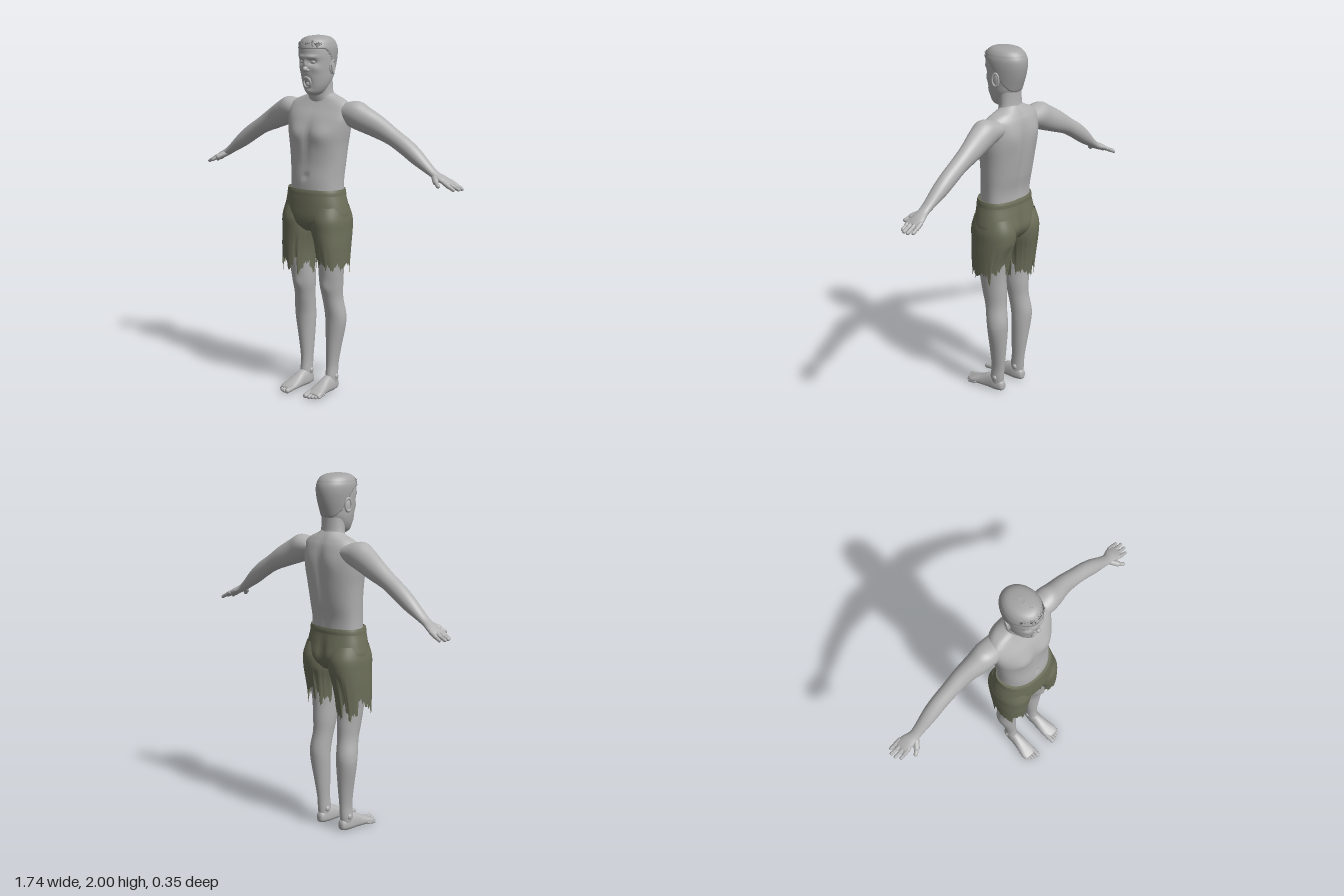
import * as THREE from 'three';

const mat = (name, color, side = THREE.FrontSide) =>
  Object.assign(new THREE.MeshStandardMaterial({ color, side }), { name });
const X = new THREE.Vector3(1, 0, 0), Y = new THREE.Vector3(0, 1, 0), Z = new THREE.Vector3(0, 0, 1);
const sq = v => v * v;
const gauss = (x, y, cx, cy, sx, sy) => Math.exp(-sq((x - cx) / sx) - sq((y - cy) / sy));

// Small seeded random source
function seeded(seed) {
  return () => (seed = (seed * 16807) % 2147483647) / 2147483647;
}

// Smooth value along the rows (Catmull-Rom on every column)
function sample(rows, t) {
  const f = t * (rows.length - 1), i = Math.min(Math.floor(f), rows.length - 2), k = f - i;
  const at = j => rows[Math.max(0, Math.min(rows.length - 1, j))];
  const [a, b, c, d] = [at(i - 1), at(i), at(i + 1), at(i + 2)];
  return b.map((_, n) => b[n] + 0.5 * k * (c[n] - a[n] + k * (2 * a[n] - 5 * b[n] + 4 * c[n] - d[n]
    + k * (3 * (b[n] - c[n]) + d[n] - a[n]))));
}

// Skin over rows of [x, y, z, radius along U, radius along +V, radius along -V]
function loft(rows, U, V, { seg = 40, sub = 5, power = 2, cap = true, warp } = {}) {
  const pos = [], idx = [], n = (rows.length - 1) * sub;
  const pw = v => Math.sign(v) * Math.pow(Math.abs(v), 2 / power);
  for (let i = 0; i <= n; i++) {
    const [x, y, z, u, vp, vn] = sample(rows, i / n);
    for (let j = 0; j < seg; j++) {
      const a = j / seg * Math.PI * 2, s = Math.sin(a);
      const p = new THREE.Vector3(x, y, z).addScaledVector(U, u * pw(Math.cos(a)))
        .addScaledVector(V, pw(s) * (s > 0 ? vp : vn));
      if (warp) warp(p, i / n, j);
      pos.push(p.x, p.y, p.z);
    }
  }
  const first = rows[0], last = rows[rows.length - 1];
  const dir = new THREE.Vector3(last[0] - first[0], last[1] - first[1], last[2] - first[2]);
  const out = dir.dot(U.clone().cross(V)) > 0;
  const tri = (a, b, c) => out ? idx.push(a, b, c) : idx.push(a, c, b);
  for (let i = 0; i < n; i++) for (let j = 0; j < seg; j++) {
    const a = i * seg + j, b = i * seg + (j + 1) % seg;
    tri(a, b, a + seg);
    tri(b, b + seg, a + seg);
  }
  if (cap) {
    pos.push(...first.slice(0, 3), ...last.slice(0, 3));
    const c = (n + 1) * seg;
    for (let j = 0; j < seg; j++) {
      const k = (j + 1) % seg;
      tri(c, k, j);
      tri(c + 1, n * seg + j, n * seg + k);
    }
  }
  const g = new THREE.BufferGeometry();
  g.setAttribute('position', new THREE.Float32BufferAttribute(pos, 3));
  g.setIndex(idx);
  g.computeVertexNormals();
  return g;
}

// Rounded rod between two points
function rod(a, b, r) {
  const A = new THREE.Vector3(...a), B = new THREE.Vector3(...b), d = B.clone().sub(A);
  const g = new THREE.CapsuleGeometry(r, d.length(), 6, 14);
  g.applyQuaternion(new THREE.Quaternion().setFromUnitVectors(Y, d.normalize()));
  return g.translate(...A.add(B).multiplyScalar(0.5).toArray());
}

function ball(x, y, z, rx, ry, rz) {
  return new THREE.SphereGeometry(1, 20, 14).scale(rx, ry, rz).translate(x, y, z);
}

export function createModel() {
  const model = new THREE.Group();
  model.name = 'standingMan';
  const skin = mat('skin', 0xb2b2b2), cloth = mat('shortsCloth', 0x6d6f5a, THREE.DoubleSide);
  const stubble = mat('croppedHair', 0xa4a4a4), tuftMat = mat('hairTufts', 0x686868), dark = mat('mouthInside', 0x858585);
  const add = (name, geo, m = skin, parent = model) => {
    const mesh = new THREE.Mesh(geo, m);
    mesh.name = name;
    parent.add(mesh);
    return mesh;
  };

  // Torso with chest muscles, navel, shoulder blades and spine groove
  add('torso', loft([
    [0, 1.08, -.04, .158, .125, .085], [0, 1.2, -.04, .158, .125, .085], [0, 1.3, -.04, .165, .115, .105],
    [0, 1.4, -.04, .175, .113, .122], [0, 1.48, -.04, .188, .105, .13], [0, 1.55, -.04, .196, .083, .13],
    [0, 1.61, -.045, .192, .05, .115], [0, 1.645, -.06, .155, .045, .085], [0, 1.67, -.07, .095, .045, .06],
    [0, 1.69, -.07, .06, .04, .045],
  ], X, Z, { seg: 72, sub: 7, power: 2.25, warp: p => {
    const ax = Math.abs(p.x);
    if (p.z > -.03) {
      p.z += .016 * gauss(ax, p.y, .08, 1.465, .06, .055) - .006 * gauss(p.x, p.y, 0, 1.42, .018, .12)
        - .012 * gauss(p.x, p.y, 0, 1.235, .012, .014);
    } else {
      p.z += .014 * gauss(p.x, p.y, 0, 1.42, .025, .2) - .008 * gauss(ax, p.y, .09, 1.53, .05, .07);
    }
  } }));
  add('neck', loft([
    [0, 1.57, -.075, .1, .05, .06], [0, 1.64, -.07, .087, .06, .06], [0, 1.68, -.065, .074, .06, .052],
    [0, 1.73, -.06, .07, .06, .054], [0, 1.8, -.055, .07, .06, .06],
  ], X, Z));

  // Head: the same rows shape the skull and the cropped hair over it
  const headRows = [
    [0, 1.672, 0, .02, .03, .03], [0, 1.688, -.01, .046, .058, .05], [0, 1.72, -.02, .066, .08, .07],
    [0, 1.76, -.03, .079, .098, .085], [0, 1.8, -.03, .085, .104, .1], [0, 1.85, -.03, .091, .108, .115],
    [0, 1.9, -.03, .095, .114, .123], [0, 1.94, -.03, .092, .112, .118], [0, 1.97, -.03, .076, .094, .096],
    [0, 1.985, -.03, .052, .066, .066], [0, 1.992, -.03, .012, .016, .016],
  ];
  const head = new THREE.Group();
  head.name = 'head';
  model.add(head);
  add('face', loft(headRows, X, Z, { seg: 96, sub: 8, warp: p => {
    if (p.z < 0) return;
    const ax = Math.abs(p.x), y = p.y;
    p.z += .01 * gauss(ax, y, .03, 1.882, .03, .01) - .015 * gauss(ax, y, .036, 1.855, .019, .014)
      + .014 * gauss(p.x, y, 0, 1.845, .011, .025) + .006 * gauss(ax, y, .055, 1.82, .02, .02)
      + .008 * gauss(p.x, y, 0, 1.695, .025, .014) - .012 * gauss(p.x, y, 0, 1.745, .02, .02);
  } }), skin, head);
  add('nose', ball(0, 1.818, .078, .014, .016, .019), skin, head);
  add('mouth', ball(0, 1.745, .054, .02, .025, .009), dark, head);
  add('lips', new THREE.TorusGeometry(.023, .0065, 10, 32).scale(1, 1.2, 1).rotateX(.22)
    .translate(0, 1.745, .064), skin, head);
  add('tongue', ball(0, 1.737, .058, .013, .013, .009), skin, head);
  for (const s of [1, -1]) {
    add('nostril', ball(s * .013, 1.812, .073, .009, .008, .011), skin, head);
    add('eye', ball(s * .036, 1.855, .057, .014, .009, .01), skin, head);
    add('ear', ball(s * .091, 1.825, -.04, .009, .038, .022).rotateX(0), skin, head);
    add('earRim', new THREE.TorusGeometry(.022, .005, 8, 24).scale(.85, 1.5, 1).rotateY(Math.PI / 2 + s * .25)
      .translate(s * .098, 1.83, -.041), skin, head);
  }
  // Hair lies above a line that drops from the forehead to the nape
  add('croppedHair', loft(headRows, X, Z, { seg: 96, sub: 8, warp: p => {
    const line = 1.76 + .165 * THREE.MathUtils.smoothstep(p.z, -.12, .03);
    const k = p.y > line ? 1.035 : .93;
    p.x *= k;
    p.z = -.03 + (p.z + .03) * k;
    if (p.y > 1.95) p.y += .003;
  } }), stubble, head);
  const rnd = seeded(71);
  for (let i = 0; i < 130; i++) {
    const x = (rnd() * 2 - 1) * .072, z = .015 + rnd() * .064 * Math.sqrt(1 - sq(x / .085));
    const y = 1.987 - .035 * sq(x / .08) - .042 * sq((z + .01) / .09);
    const tuft = new THREE.ConeGeometry(.008, .024, 5).rotateX(.4 + rnd() * .8).rotateZ((rnd() - .5) * .9);
    add('hairTuft', tuft.translate(x, y, z + .006), tuftMat, head);
  }

  // Shorts: hips, then two legs with a ragged hem
  const shorts = new THREE.Group();
  shorts.name = 'shorts';
  model.add(shorts);
  add('hips', loft([
    [0, 1.162, -.03, .168, .126, .1], [0, 1.13, -.03, .174, .131, .104], [0, 1.07, -.03, .188, .134, .118],
    [0, 1.01, -.03, .195, .134, .13], [0, .97, -.03, .165, .125, .12], [0, .93, -.03, .06, .09, .09],
  ], X, Z, { seg: 64, power: 2.3, warp: p => {
    if (p.z < -.04) p.z += .02 * gauss(p.x, p.y, 0, 1, .02, .09);
  } }), cloth, shorts);
  add('waistband', loft([
    [0, 1.165, -.03, .169, .127, .101], [0, 1.15, -.03, .173, .131, .105], [0, 1.132, -.03, .175, .132, .105],
  ], X, Z, { seg: 64, power: 2.3, cap: false }), cloth, shorts);
  for (const s of [1, -1]) {
    const seg = 120, base = s > 0 ? .755 : .715, hem = [];
    let level = 0;
    for (let j = 0; j < seg; j++) {
      if (j % 4 === 0) level = (rnd() - .5) * .1 + (rnd() < .2 ? .05 : 0);
      hem.push(base + level + (rnd() - .5) * .03);
    }
    add('shortsLeg', loft([
      [s * .098, 1.07, -.03, .085, .115, .105], [s * .099, 1.0, -.03, .1, .134, .13],
      [s * .101, .93, -.03, .1, .132, .128], [s * .11, .84, -.025, .092, .123, .115],
      [s * .114, .76, -.022, .087, .115, .103], [s * .115, .68, -.02, .085, .107, .095],
    ], X, Z, { seg, sub: 6, power: 2.2, cap: false, warp: (p, t, j) => {
      if (p.y < .93) p.y = .93 + (p.y - .93) / .25 * (.93 - hem[j]);
    } }), cloth, shorts);
  }

  for (const s of [1, -1]) {
    const side = s > 0 ? 'left' : 'right';
    // Leg
    add(side + 'Leg', loft([
      [.1, 1.0, -.03, .08, .09, .1], [.105, .85, -.025, .078, .088, .09], [.1, .72, -.022, .069, .075, .082],
      [.096, .62, -.03, .063, .067, .075], [.098, .54, -.042, .057, .06, .064], [.106, .45, -.055, .06, .055, .065],
      [.105, .38, -.06, .058, .054, .058], [.095, .25, -.055, .042, .046, .049], [.09, .15, -.05, .032, .039, .042],
      [.09, .08, -.045, .033, .042, .042], [.088, .035, -.045, .03, .035, .035],
    ].map(([x, ...r]) => [s * x, ...r]), X, Z, { warp: p => {
      if (p.z > -.02) p.z += .009 * gauss(p.x, p.y, s * .095, .615, .03, .035);
    } }));
    for (const x of [.058, .121]) add('ankleBone', ball(s * x, .085, -.05, .009, .016, .015));

    // Foot and toes
    add(side + 'Foot', loft([
      [.088, .03, -.093, .008, .012, .012], [.088, .03, -.083, .024, .035, .025], [.088, .03, -.04, .034, .065, .03],
      [.089, .03, .01, .036, .06, .029], [.092, .027, .065, .042, .036, .024], [.096, .022, .115, .046, .019, .02],
      [.096, .019, .142, .036, .009, .016],
    ].map(([x, ...r]) => [s * x, ...r]), X, Y, { power: 2.3 }));
    [[.063, .164, .0145], [.084, .163, .0105], [.102, .155, .01], [.118, .145, .0095], [.132, .132, .009]]
      .forEach(([x, z, r]) => add('toe', rod([s * x, r + .008, z - .045], [s * (x + .002), r + .002, z], r)));

    // Arm down to the palm
    const U = new THREE.Vector3(s * .5, .866, 0);
    add(side + 'Arm', loft([
      [.12, 1.585, -.075, .055, .055, .065], [.2, 1.582, -.075, .076, .068, .07], [.27, 1.553, -.08, .072, .062, .064],
      [.36, 1.512, -.095, .061, .051, .052], [.45, 1.467, -.1, .048, .045, .045], [.53, 1.42, -.104, .046, .045, .042],
      [.6, 1.372, -.103, .041, .042, .04], [.68, 1.315, -.1, .026, .032, .032], [.72, 1.289, -.1, .021, .031, .031],
      [.76, 1.27, -.105, .019, .04, .042], [.798, 1.252, -.108, .013, .041, .043], [.812, 1.246, -.108, .005, .034, .036],
    ].map(([x, ...r]) => [s * x, ...r]), U, Z));

    // Fingers and thumb, each in two joints
    [[-.145, -.15, .845], [-.12, -.128, .862], [-.096, -.1, .859], [-.074, -.074, .842]].forEach(([z0, z1, x]) => {
      const mid = [s * (.79 + x) / 2, 1.24, (z0 + z1) / 2];
      add('finger', rod([s * .785, 1.258, z0], mid, .0115));
      add('fingerTip', rod(mid, [s * x, 1.227, z1], .0095));
    });
    add('thumb', rod([s * .722, 1.282, -.083], [s * .752, 1.262, -.048], .016));
    add('thumbTip', rod([s * .752, 1.262, -.048], [s * .777, 1.246, -.03], .0115));
  }
  return model;
}
